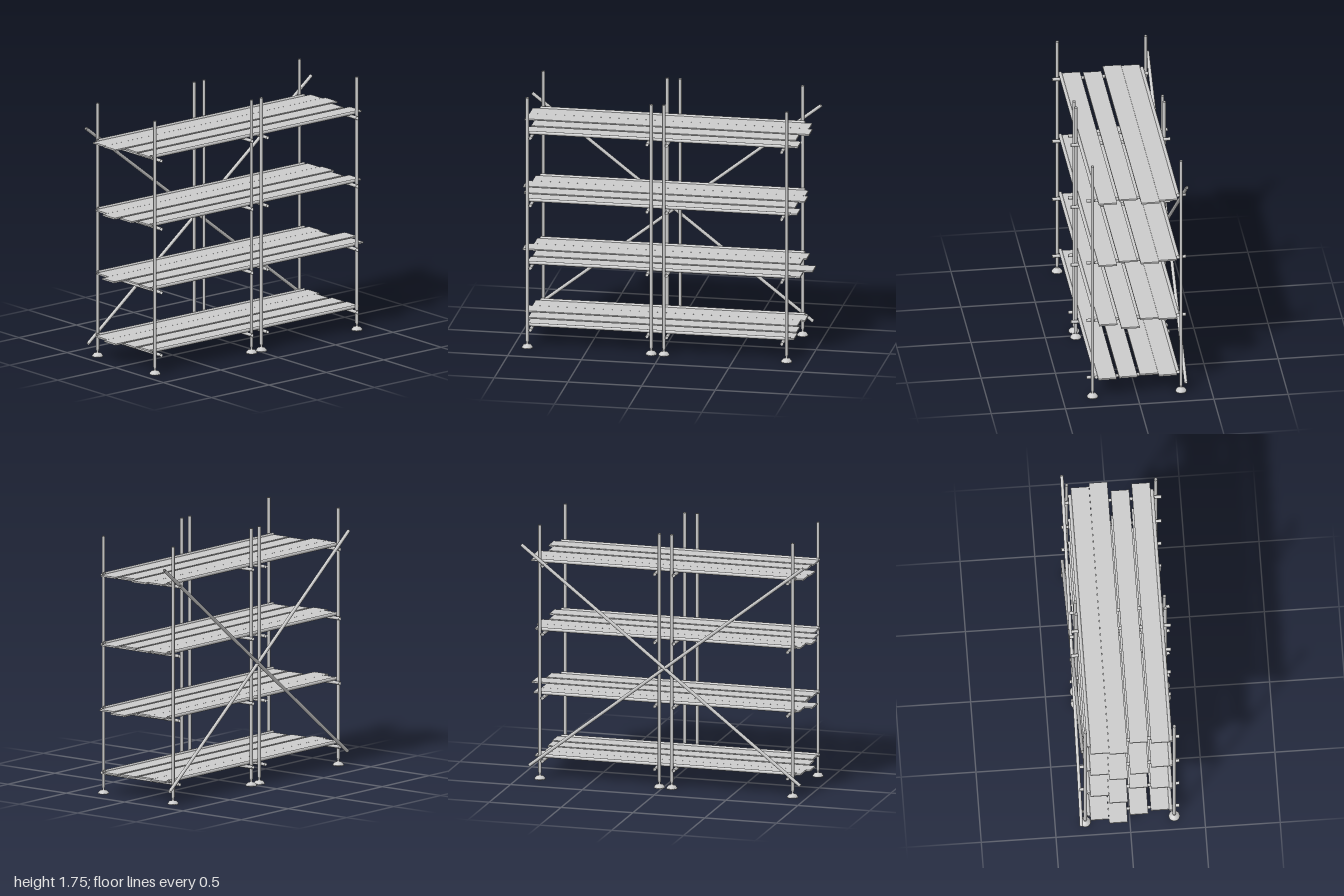
import * as THREE from 'three';

const steel = new THREE.MeshStandardMaterial({ color: 0xcccccc, side: THREE.DoubleSide });
const wood = new THREE.MeshStandardMaterial({ color: 0xcccccc });
const R = 0.0115;

// Open hollow tube running between two points
function tube(name, a, b) {
  const from = new THREE.Vector3(...a), to = new THREE.Vector3(...b);
  const dir = to.clone().sub(from);
  const mesh = new THREE.Mesh(new THREE.CylinderGeometry(R, R, dir.length(), 20, 1, true), steel);
  mesh.name = name;
  mesh.position.copy(from).add(to).multiplyScalar(0.5);
  mesh.quaternion.setFromUnitVectors(new THREE.Vector3(0, 1, 0), dir.normalize());
  return mesh;
}

export function createModel() {
  const scaffold = new THREE.Group();
  scaffold.name = 'scaffold';

  // Upright poles on flared foot plates
  const footProfile = [[0, 0], [0.038, 0], [0.037, 0.006], [0.024, 0.022], [0.008, 0.024], [0.007, 0.034], [R, 0.05]]
    .map(([r, y]) => new THREE.Vector2(r, y));
  const footGeometry = new THREE.LatheGeometry(footProfile, 24);
  for (const x of [-0.298, 0.298]) {
    for (const z of [0.904, 0.063, -0.023, -0.855]) {
      scaffold.add(tube('uprightPole', [x, 0.05, z], [x, 1.75, z]));
      const foot = new THREE.Mesh(footGeometry, steel);
      foot.name = 'foot';
      foot.position.set(x, 0, z);
      scaffold.add(foot);
    }
  }

  // Each deck: height of its cross tubes, and the back and front end of every plank
  const decks = [
    { y: 0.133, planks: [[-0.9, 0.95], [-0.87, 0.98], [-0.89, 0.93], [-0.9, 0.91]] },
    { y: 0.566, planks: [[-0.91, 0.94], [-0.89, 0.995], [-1.0, 0.9], [-0.94, 0.91]] },
    { y: 1.005, planks: [[-0.9, 0.95], [-0.92, 0.99], [-0.88, 0.96], [-0.92, 0.92]] },
    { y: 1.476, planks: [[-0.925, 0.97], [-0.95, 0.98], [-0.885, 0.91], [-0.925, 0.92]] },
  ];
  const plankX = [-0.204, -0.08, 0.061, 0.203];
  const plankWidth = 0.123, plankThickness = 0.011;

  decks.forEach(({ y, planks }, level) => {
    const deck = new THREE.Group();
    deck.name = 'deck' + (level + 1);
    // Cross tubes carrying the planks
    for (const z of [0.878, 0.086, -0.047, -0.828]) {
      deck.add(tube('crossTube', [-0.335, y, z], [0.335, y, z]));
    }
    // Long side tubes resting on the cross tubes
    for (const x of [-0.275, 0.275]) {
      deck.add(tube('sideTube', [x, y + 0.022, -0.875], [x, y + 0.022, 0.92]));
    }
    // Planks of uneven overhang
    planks.forEach(([back, front], i) => {
      const plank = new THREE.Mesh(new THREE.BoxGeometry(plankWidth, plankThickness, front - back), wood);
      plank.name = 'plank';
      plank.position.set(plankX[i], y + R + plankThickness / 2, (front + back) / 2);
      deck.add(plank);
    });
    scaffold.add(deck);
  });

  // Crossed diagonal braces on one long side
  scaffold.add(tube('diagonalBrace', [-0.322, 1.585, 0.985], [-0.322, 0.095, -0.922]));
  scaffold.add(tube('diagonalBrace', [-0.327, 0.09, 0.965], [-0.321, 1.61, -0.977]));

  return scaffold;
}
